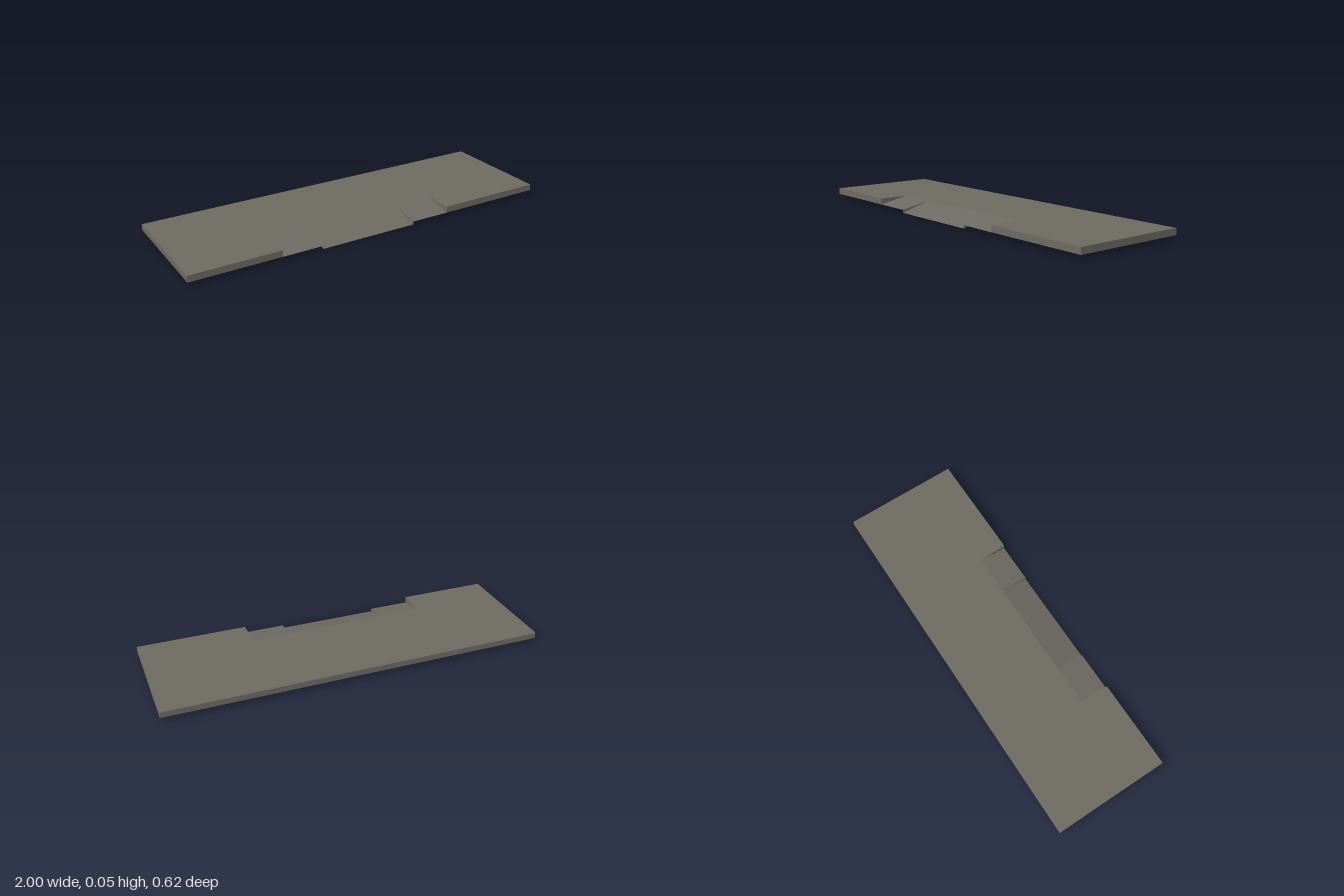
import * as THREE from 'three';

// Thin open-bottomed slab with a three-part ramp cut into its front edge.
const TOP = 0.05, RIM = 0.016, Z = 0.308, RAMP_Z = 0.153, BEVEL = 0.004;

// Ramp edges: x at the back of the ramp and x at the front
const EDGES = [[-0.522, -0.53], [-0.311, -0.315], [0.208, 0.213], [0.419, 0.424]];

const material = new THREE.MeshStandardMaterial({ color: 0x6d6a62, side: THREE.DoubleSide });
material.name = 'warm grey';

// Mesh from convex polygons, corners counter-clockwise seen from outside
function faces(name, ...polygons) {
  const pos = [];
  for (const p of polygons)
    for (let i = 1; i < p.length - 1; i++) pos.push(...p[0], ...p[i], ...p[i + 1]);
  const g = new THREE.BufferGeometry();
  g.setAttribute('position', new THREE.Float32BufferAttribute(pos, 3));
  g.computeVertexNormals();
  const mesh = new THREE.Mesh(g, material);
  mesh.name = name;
  return mesh;
}

// Sloping panel between two ramp edges, ending at height y
const ramp = (name, [b0, f0], [b1, f1], y) =>
  faces(name, [[f0, y, Z], [f1, y, Z], [b1, TOP, RAMP_Z], [b0, TOP, RAMP_Z]]);

// Upright triangle along a ramp edge; side = the x direction it faces
function cheek(name, [b, f], high, low, side) {
  const tri = [[b, TOP, RAMP_Z], [f, low, Z], [f, high, Z]];
  return faces(name, side > 0 ? tri.reverse() : tri);
}

export function createModel() {
  const group = new THREE.Group();
  group.name = 'rampedSlab';
  const [e0, e1, e2, e3] = EDGES;

  // Top plate, notched for the ramp
  const outline = [[-1, Z - BEVEL], [-1, -Z], [e0[1], -Z], [e0[0], -RAMP_Z],
    [e3[0], -RAMP_Z], [e3[1], -Z], [1, -Z], [1, Z - BEVEL]];
  const shape = new THREE.Shape(outline.map(([x, y]) => new THREE.Vector2(x, y)));
  const plate = new THREE.Mesh(
    new THREE.ShapeGeometry(shape).rotateX(-Math.PI / 2).translate(0, TOP, 0), material);
  plate.name = 'topPlate';
  group.add(plate);

  // Rear wall with its small bevel
  const by = TOP - BEVEL, bz = -Z + BEVEL;
  group.add(faces('backWall',
    [[1, RIM, -Z], [-1, RIM, -Z], [-1, by, -Z], [1, by, -Z]],
    [[1, by, -Z], [-1, by, -Z], [-1, TOP, bz], [1, TOP, bz]]));

  // End walls
  const end = x => [[x, RIM, Z], [x, RIM, -Z], [x, by, -Z], [x, TOP, bz], [x, TOP, Z]];
  group.add(faces('leftWall', end(1)), faces('rightWall', end(-1).reverse()));

  // Front walls on both sides of the ramp
  const front = (x0, x1) => [[x0, RIM, Z], [x1, RIM, Z], [x1, TOP, Z], [x0, TOP, Z]];
  group.add(faces('frontWalls', front(-1, e0[1]), front(e3[1], 1)));

  // Ramps: the middle one dips below the rim
  group.add(
    ramp('rightRamp', e0, e1, RIM),
    ramp('middleRamp', e1, e2, 0),
    ramp('leftRamp', e2, e3, RIM));

  // Cheeks closing the steps between the levels
  group.add(
    cheek('rightOuterCheek', e0, TOP, RIM, 1),
    cheek('rightInnerCheek', e1, RIM, 0, 1),
    cheek('leftInnerCheek', e2, RIM, 0, -1),
    cheek('leftOuterCheek', e3, TOP, RIM, -1));

  return group;
}
